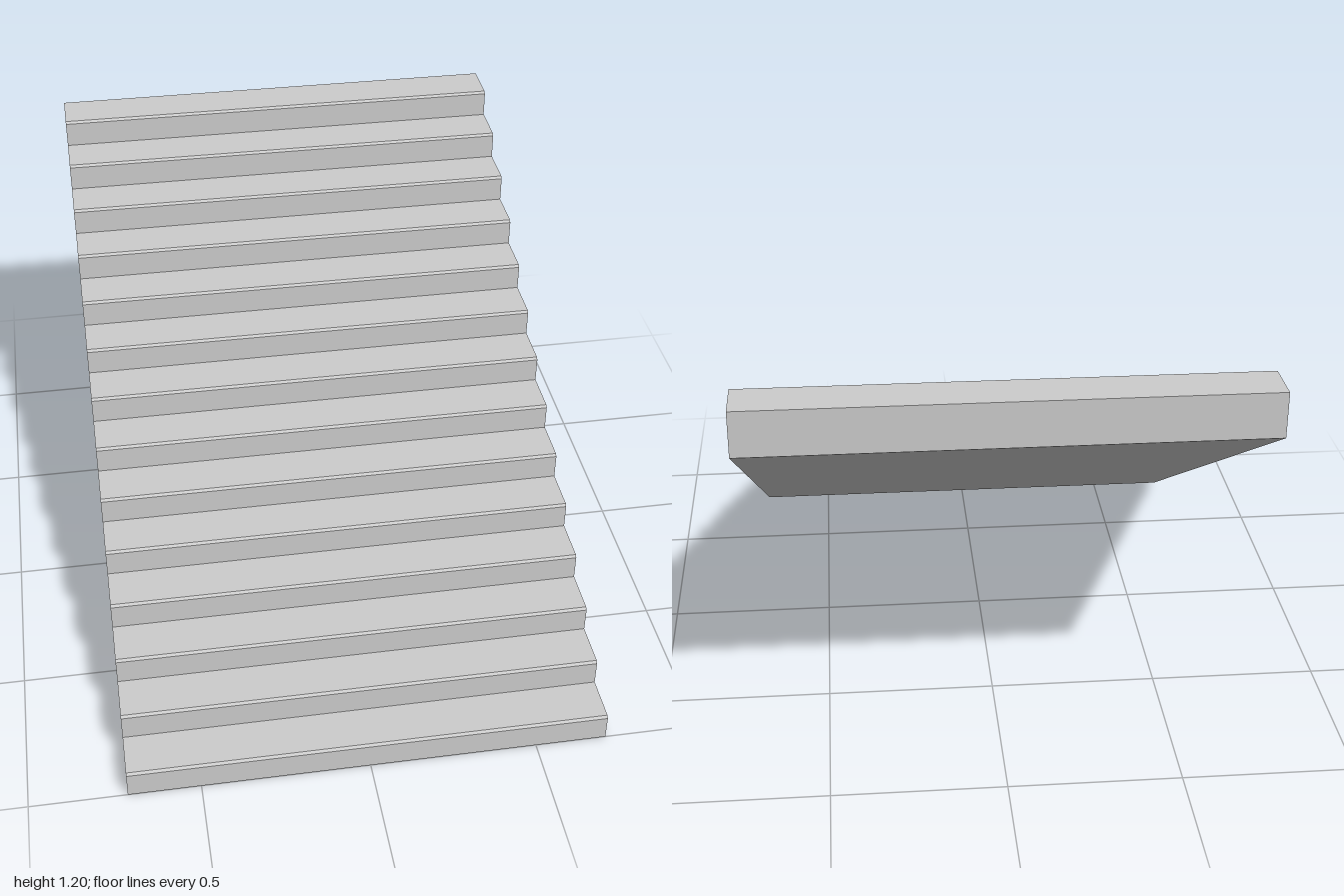
import * as THREE from 'three';

const STEPS = 14;
const RUN = 2 / STEPS;
const RISE = 1.2 / STEPS;
const WIDTH = 1.428;
const BEVEL = 0.007;

// Side profile: shape x runs from the foot (-1) to the head (+1) of the flight.
function flightProfile() {
  const shape = new THREE.Shape();
  // Underside: flat foot, short ramp, then a straight slope to the head
  shape.moveTo(-1, 0);
  shape.lineTo(-1 + RUN, 0);
  shape.lineTo(-1 + 2 * RUN, RISE / 2);
  shape.lineTo(1, 1.07);
  // Steps, walked down from head to foot, each with a small bevelled nosing
  for (let i = STEPS - 1; i >= 0; i--) {
    const front = -1 + i * RUN;
    const top = (i + 1) * RISE;
    shape.lineTo(front + RUN, top);
    shape.lineTo(front + BEVEL, top);
    shape.lineTo(front, top - BEVEL);
  }
  shape.closePath();
  return shape;
}

export function createModel() {
  const group = new THREE.Group();
  group.name = 'staircase';

  const geometry = new THREE.ExtrudeGeometry(flightProfile(), { depth: WIDTH, bevelEnabled: false });
  geometry.translate(0, 0, -WIDTH / 2);
  geometry.rotateY(Math.PI / 2); // foot faces +z

  const flight = new THREE.Mesh(
    geometry,
    new THREE.MeshStandardMaterial({ color: 0xcccccc, flatShading: true })
  );
  flight.name = 'stairFlight';
  group.add(flight);
  return group;
}
